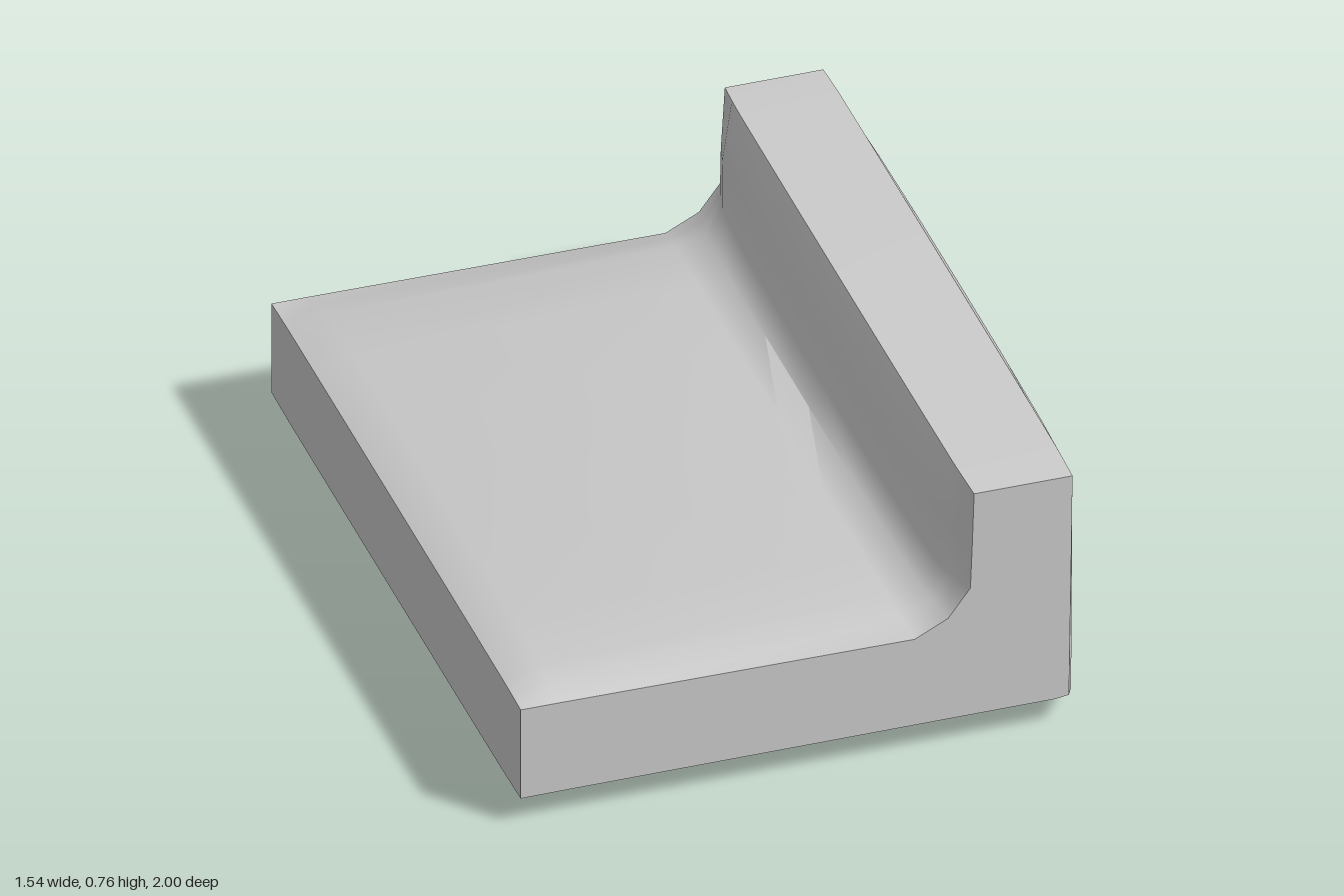
import * as THREE from 'three';
import { toCreasedNormals } from 'three/addons/utils/BufferGeometryUtils.js';

// Matching L-shaped sections, counter-clockwise from the low outer edge:
// flat end section and the fuller, padded middle section.
const END = [
  [-0.77, 0.08], [-0.65, 0.081], [0.67, 0.085], [0.705, 0.09], [0.714, 0.70], [0.715, 0.755],
  [0.45, 0.755], [0.445, 0.60], [0.44, 0.47], [0.38, 0.39], [0.29, 0.345], [-0.67, 0.35], [-0.77, 0.35],
];
const MIDDLE = [
  [-0.77, 0.075], [-0.65, 0], [0.67, 0.005], [0.77, 0.03], [0.753, 0.70], [0.715, 0.765],
  [0.44, 0.765], [0.38, 0.64], [0.38, 0.48], [0.34, 0.425], [0.26, 0.41], [-0.67, 0.396], [-0.77, 0.355],
];

// Depth and fullness of each section from back to front
const HALF = [[1, 0], [0.93, 0.45], [0.86, 0.75], [0.65, 0.9], [0.35, 0.98]];
const STATIONS = [
  ...HALF.map(([z, f]) => [-z, f]),
  [0, 1],
  ...HALF.map(([z, f]) => [z, f]).reverse(),
];

function createCushionGeometry() {
  const n = END.length;
  const positions = [];
  const indices = [];
  for (const [z, full] of STATIONS) {
    END.forEach(([x, y], i) => {
      positions.push(
        THREE.MathUtils.lerp(x, MIDDLE[i][0], full),
        THREE.MathUtils.lerp(y, MIDDLE[i][1], full),
        z,
      );
    });
  }

  // Padded skin between neighbouring sections
  for (let k = 0; k < STATIONS.length - 1; k++) {
    for (let i = 0; i < n; i++) {
      const j = (i + 1) % n;
      const a = k * n + i, b = k * n + j;
      const c = b + n, d = a + n;
      indices.push(a, b, c, a, c, d);
    }
  }

  // Flat end panels
  const last = (STATIONS.length - 1) * n;
  const contour = END.map(([x, y]) => new THREE.Vector2(x, y));
  for (const [a, b, c] of THREE.ShapeUtils.triangulateShape(contour, [])) {
    indices.push(a, c, b, last + a, last + b, last + c);
  }

  const geometry = new THREE.BufferGeometry();
  geometry.setAttribute('position', new THREE.Float32BufferAttribute(positions, 3));
  geometry.setIndex(indices);
  return toCreasedNormals(geometry, 0.75);
}

export function createModel() {
  const group = new THREE.Group();
  group.name = 'seatCushion';
  const cushion = new THREE.Mesh(
    createCushionGeometry(),
    new THREE.MeshStandardMaterial({ color: 0xcccccc }),
  );
  cushion.name = 'seatAndBackrest';
  group.add(cushion);
  return group;
}
